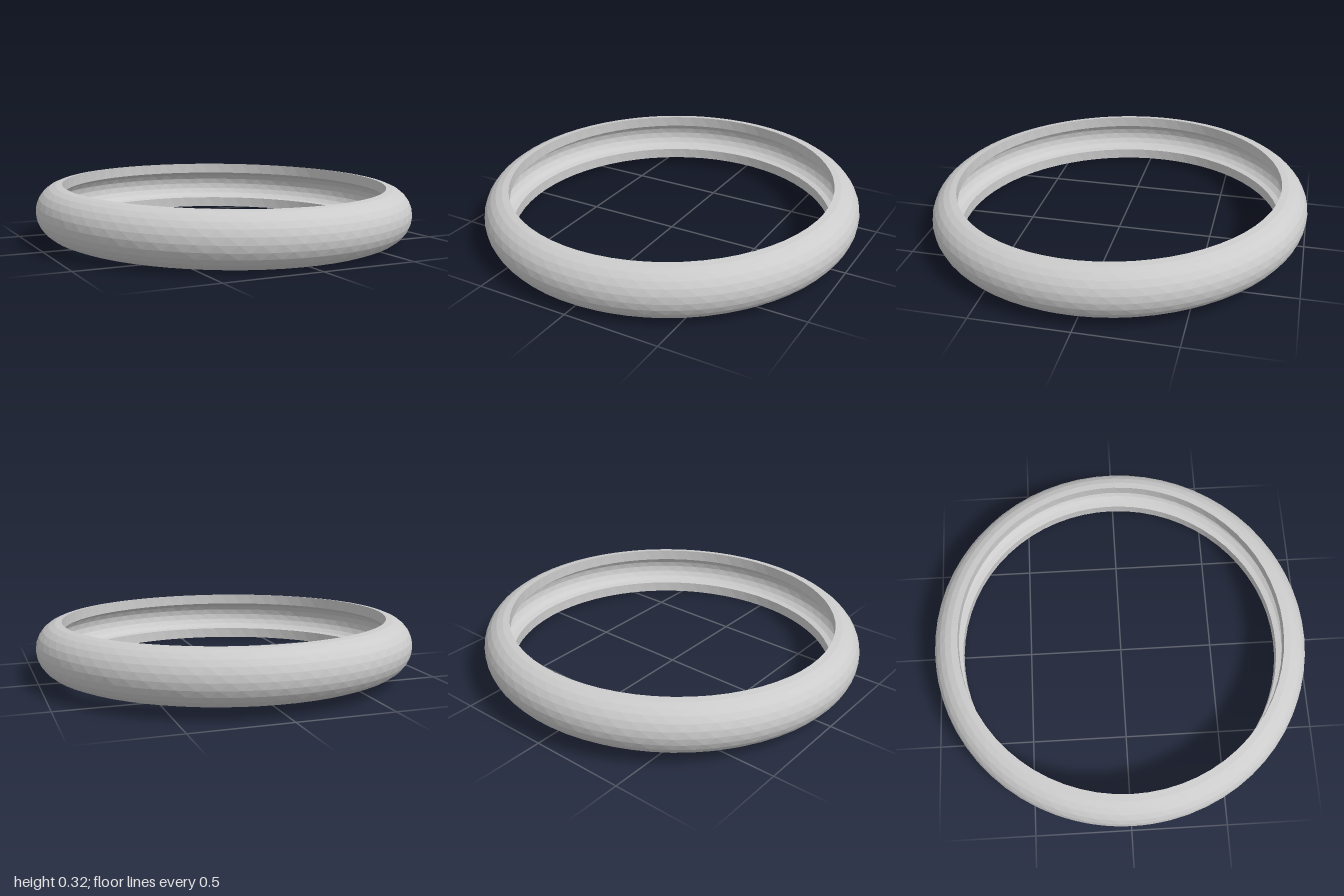
import * as THREE from 'three';

const SEGMENTS = 64;
const BEAD_RADIUS = 0.862; // inner edge of the ring
const HALF_WIDTH = 0.137;
const CHANNEL = 0.08; // radius of the hollow inside

// Half-round arc in the (radius, height) plane, swept between two angles
function arc(radius, depth, from, to, steps) {
  return Array.from({ length: steps + 1 }, (_, i) => {
    const a = from + ((to - from) * i) / steps;
    return new THREE.Vector2(BEAD_RADIUS + depth * Math.cos(a), radius * Math.sin(a));
  });
}

export function createModel() {
  const group = new THREE.Group();
  group.name = 'tyreModel';
  const q = Math.PI / 2;

  // Closed cross-section: outer tread, upper bead, hollow channel, lower bead
  const profile = [
    ...arc(HALF_WIDTH, 1 - BEAD_RADIUS, -q, q, 12),
    ...arc(CHANNEL, CHANNEL, q, -q, 8),
    new THREE.Vector2(BEAD_RADIUS, -HALF_WIDTH),
  ];
  const geometry = new THREE.LatheGeometry(profile, SEGMENTS);

  // Turn each row half a step past the last, for even triangular facets
  const pos = geometry.attributes.position;
  const v = new THREE.Vector3();
  const up = new THREE.Vector3(0, 1, 0);
  for (let i = 0; i < pos.count; i++) {
    const row = i % profile.length;
    v.fromBufferAttribute(pos, i).applyAxisAngle(up, (row * Math.PI) / SEGMENTS);
    pos.setXYZ(i, v.x, v.y, v.z);
  }
  geometry.computeVertexNormals();

  const tyre = new THREE.Mesh(
    geometry,
    new THREE.MeshStandardMaterial({ color: 0xcccccc, flatShading: true })
  );
  tyre.name = 'tyre';
  tyre.rotation.x = 0.029; // leans slightly, back edge higher
  tyre.position.y = 0.163;
  group.add(tyre);
  return group;
}
